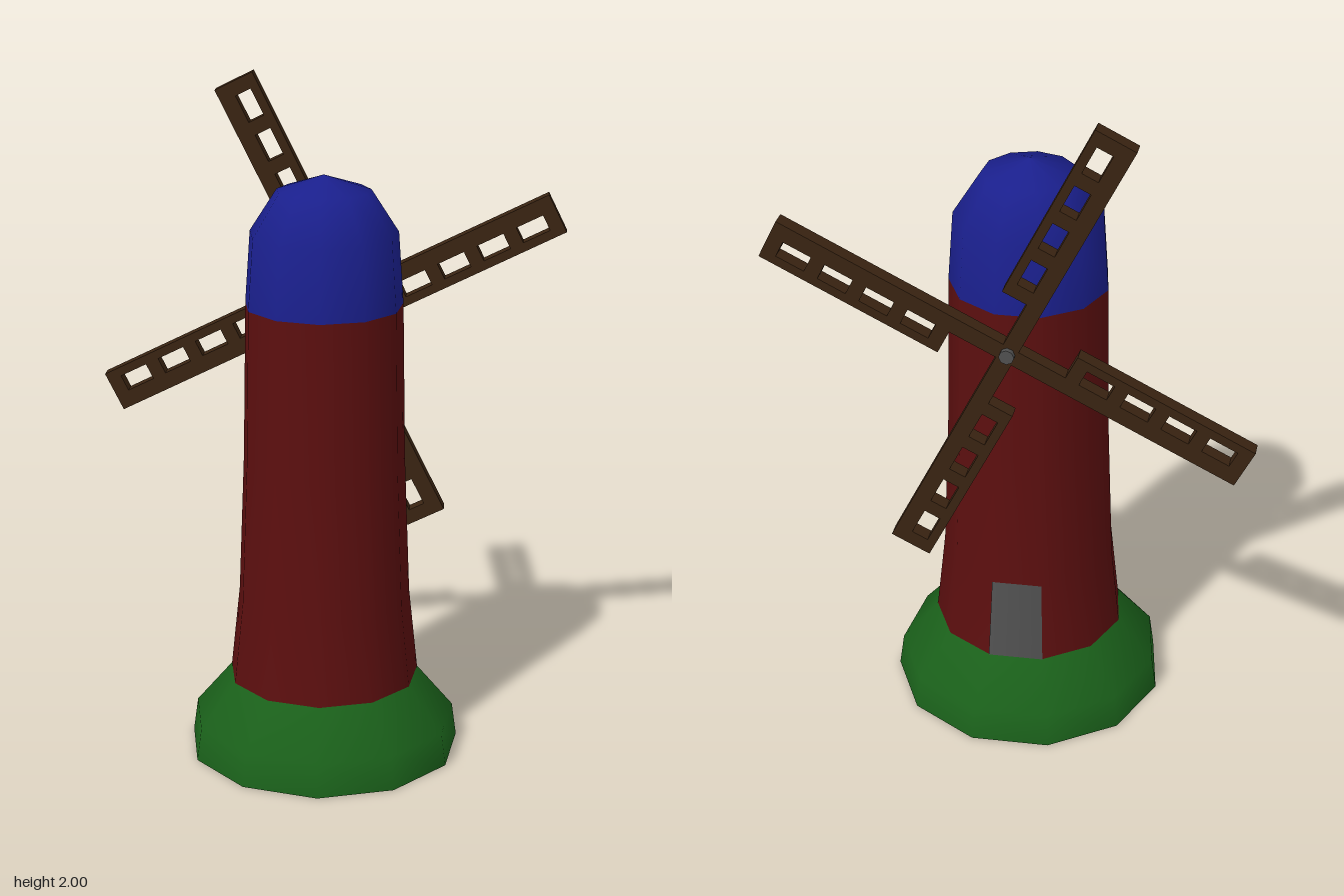
import * as THREE from 'three';

const SIDES = 11;
const STEP = (Math.PI * 2) / SIDES;
const TURN = 0.04; // slight twist of the eleven-sided plan

const paint = (color) => new THREE.MeshStandardMaterial({ color });
const red = paint(0x5c0f0f);
const blue = paint(0x1a1f8c);
const green = paint(0x1a601a);
const brown = paint(0x3a2412);
const grey = paint(0x505050);

function add(parent, name, geometry, material) {
  const mesh = new THREE.Mesh(geometry, material);
  mesh.name = name;
  parent.add(mesh);
  return mesh;
}

// Turned shape from [radius, height] pairs, bottom to top
function turned(profile, segments = SIDES, start = TURN) {
  const points = profile.map(([r, y]) => new THREE.Vector2(r, y));
  return new THREE.LatheGeometry(points, segments, start, segments * STEP);
}

// One lattice sail along +x: a spar on the axis, an outer rail and rungs
function makeSail() {
  const sail = new THREE.Group();
  sail.name = 'sail';
  const start = 0.17, end = 0.728, depth = 0.046, rung = 0.042;
  add(sail, 'spar', new THREE.BoxGeometry(end, 0.048, depth), brown).position.x = end / 2;
  add(sail, 'outerRail', new THREE.BoxGeometry(end - start, 0.026, depth), brown)
    .position.set((start + end) / 2, -0.087, 0);
  const gap = (end - start - rung) / 4;
  for (let i = 0; i <= 4; i++) {
    add(sail, 'rung', new THREE.BoxGeometry(rung, 0.06, depth), brown)
      .position.set(start + rung / 2 + i * gap, -0.049, 0);
  }
  return sail;
}

export function createModel() {
  const model = new THREE.Group();
  model.name = 'windmill';

  // Sloping mound with a closed underside
  add(model, 'base', turned([[0.408, 0], [0.394, 0.1], [0.285, 0.23]]), green);
  const floor = new THREE.CircleGeometry(0.408, SIDES, Math.PI / 2 - TURN);
  add(model, 'baseUnderside', floor.rotateX(Math.PI / 2), green);

  // Tapering tower and domed cap
  add(model, 'tower', turned([[0.285, 0.23], [0.258, 0.48], [0.241, 0.9], [0.232, 1.37]]), red);
  add(model, 'cap', turned([[0.232, 1.37], [0.217, 1.58], [0.137, 1.705], [0, 1.75]]), blue);

  // Door fills one facet at the foot of the tower, on the sail side
  add(model, 'door', turned([[0.288, 0.231], [0.261, 0.48]], 1, TURN + 5 * STEP), grey);

  // Axle out of the back of the tower
  const axle = new THREE.CylinderGeometry(0.022, 0.022, 0.15, 8).rotateX(Math.PI / 2);
  add(model, 'axle', axle, grey).position.set(0, 1.3, -0.26);

  // Four sails around the axle
  const sails = new THREE.Group();
  sails.name = 'sails';
  sails.position.set(0, 1.3, -0.296);
  sails.rotation.z = THREE.MathUtils.degToRad(26.5);
  for (let i = 0; i < 4; i++) {
    const sail = makeSail();
    sail.rotation.z = (i * Math.PI) / 2;
    sails.add(sail);
  }
  model.add(sails);

  return model;
}
